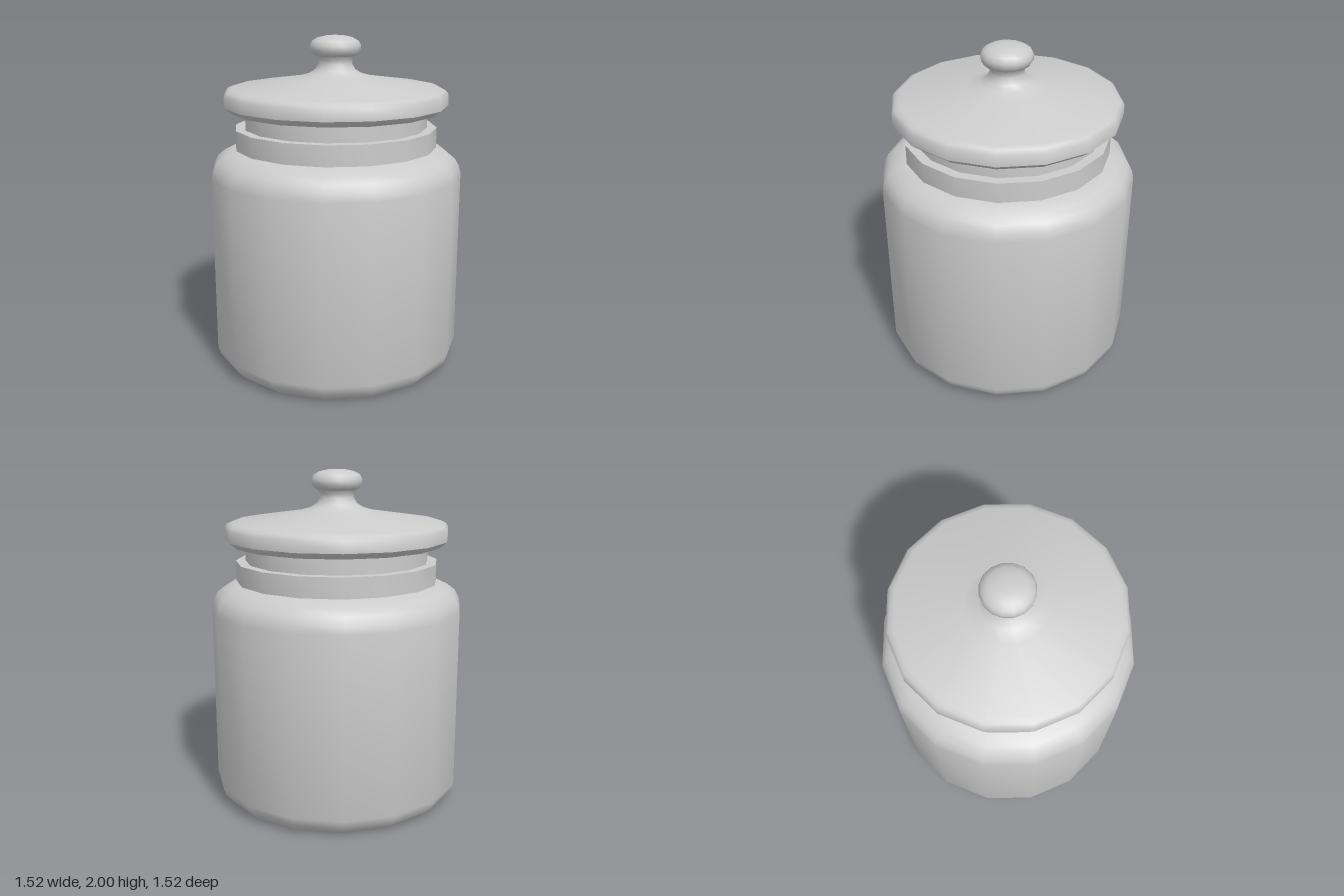
import * as THREE from 'three';
import { toCreasedNormals } from 'three/addons/utils/BufferGeometryUtils.js';

const SIDES = 16;

// Turned part from [radius, height] pairs, listed from bottom to top
function turned(name, profile, material) {
  const points = profile.map(([r, y]) => new THREE.Vector2(r, y));
  const geometry = toCreasedNormals(new THREE.LatheGeometry(points, SIDES), 0.75);
  const mesh = new THREE.Mesh(geometry, material);
  mesh.name = name;
  return mesh;
}

export function createModel() {
  const group = new THREE.Group();
  group.name = 'lidded jar';
  const material = new THREE.MeshStandardMaterial({ color: 0xcccccc });

  // Jar body with bevelled foot and rounded shoulder
  group.add(turned('body', [
    [0, 0], [0.68, 0], [0.71, 0.025], [0.745, 0.065], [0.76, 0.11],
    [0.76, 1.18], [0.75, 1.225], [0.725, 1.27], [0.68, 1.305], [0.61, 1.34], [0, 1.34],
  ], material));

  // Collar around the mouth
  group.add(turned('collar', [[0.608, 1.335], [0.608, 1.46], [0.54, 1.46]], material));

  // Recessed stopper under the lid
  group.add(turned('stopper', [[0, 1.44], [0.55, 1.44], [0.55, 1.565]], material));

  // Lid with thick rim, shallow slope and flared stem
  group.add(turned('lid', [
    [0, 1.56], [0.63, 1.56], [0.672, 1.595], [0.672, 1.66], [0.655, 1.682], [0.625, 1.695],
    [0.24, 1.752], [0.16, 1.775], [0.12, 1.8], [0.1, 1.835], [0.102, 1.86], [0.115, 1.88],
  ], material));

  // Rounded knob
  group.add(turned('knob', [
    [0, 1.875], [0.105, 1.875], [0.135, 1.89], [0.15, 1.915], [0.152, 1.94],
    [0.138, 1.967], [0.105, 1.986], [0.055, 1.997], [0, 2],
  ], material));

  return group;
}
